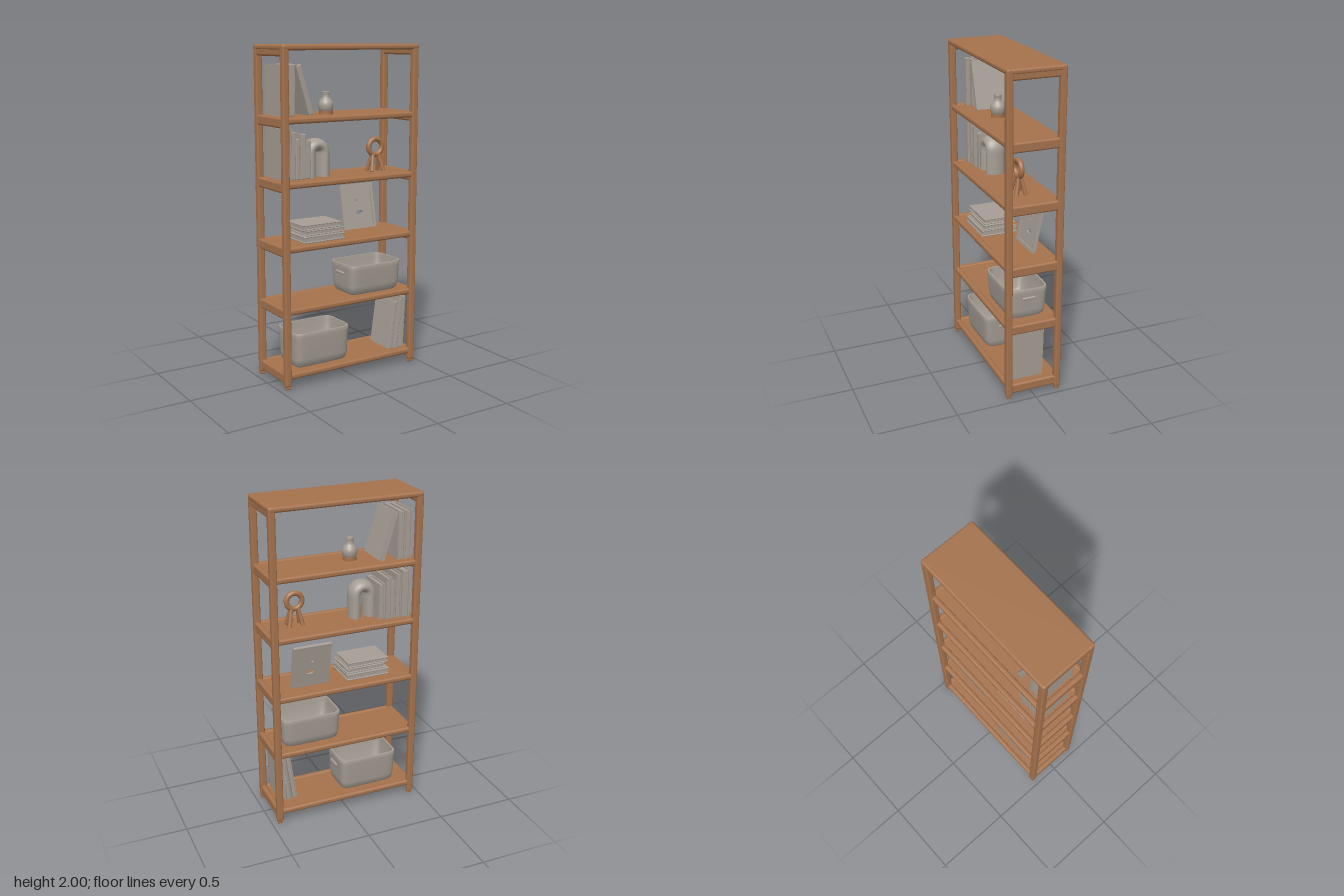
import * as THREE from 'three';
import { toCreasedNormals } from 'three/addons/utils/BufferGeometryUtils.js';
import { RoundedBoxGeometry } from 'three/addons/geometries/RoundedBoxGeometry.js';

const wood = new THREE.MeshStandardMaterial({ color: 0xa5724d });
wood.name = 'wood';
const clay = new THREE.MeshStandardMaterial({ color: 0xa69e95 });
clay.name = 'warm grey';

function add(parent, name, geometry, material, x = 0, y = 0, z = 0) {
  const mesh = new THREE.Mesh(geometry, material);
  mesh.name = name;
  mesh.position.set(x, y, z);
  parent.add(mesh);
  return mesh;
}

const rounded = (w, h, d, r) => new RoundedBoxGeometry(w, h, d, 3, r);

// Skin through rounded-rectangle rings; each level is [y, half width, half depth]
function loft(levels, sides = 48) {
  const pos = [], index = [];
  const corner = (v) => Math.sign(v) * Math.pow(Math.abs(v), 0.28);
  levels.forEach(([y, w, d]) => {
    for (let i = 0; i < sides; i++) {
      const t = ((i + 0.5) / sides) * Math.PI * 2;
      pos.push(w * corner(Math.cos(t)), y, d * corner(Math.sin(t)));
    }
  });
  for (let j = 0; j < levels.length - 1; j++) {
    for (let i = 0; i < sides; i++) {
      const a = j * sides + i, b = j * sides + (i + 1) % sides;
      index.push(a, a + sides, b, b, a + sides, b + sides);
    }
  }
  const g = new THREE.BufferGeometry();
  g.setAttribute('position', new THREE.Float32BufferAttribute(pos, 3));
  g.setIndex(index);
  return toCreasedNormals(g, 0.7);
}

// Upright book, spine to the front, pivot at the middle of its foot
function book(parent, x, y, z, w, h, d, lean = 0) {
  const g = new THREE.Group();
  g.name = 'book';
  const c = Math.min(0.008, w * 0.2);
  for (const s of [-1, 1]) add(g, 'cover', new THREE.BoxGeometry(c, h, d), clay, s * (w - c) / 2, h / 2, 0);
  add(g, 'spine', rounded(w, h, 0.016, 0.005), clay, 0, h / 2, d / 2 - 0.006);
  add(g, 'pages', new THREE.BoxGeometry(w - c, h - 0.012, d - 0.016), clay, 0, h / 2 - 0.003, 0);
  g.position.set(x, y, z);
  g.rotation.z = lean;
  parent.add(g);
}

// Open storage basket with a rolled rim and end handles
function basket(parent, x, y, z, w, h, d) {
  const g = new THREE.Group();
  g.name = 'basket';
  const a = w / 2, b = d / 2, t = 0.012;
  add(g, 'basketBody', loft([
    [0, 0.001, 0.001], [0, a * 0.88, b * 0.78], [0.012, a * 0.93, b * 0.87], [0.05, a * 0.96, b * 0.93],
    [h - 0.03, a * 0.985, b * 0.98], [h - 0.01, a, b], [h, a - 0.003, b - 0.003],
    [h, a - t, b - t], [h - 0.03, a - t - 0.004, b - t - 0.004],
    [0.03, a * 0.93 - t, b * 0.88 - t], [0.014, a * 0.88 - t, b * 0.8 - t], [0.014, 0.001, 0.001],
  ]), clay);
  for (const s of [-1, 1]) add(g, 'handle', rounded(0.016, 0.016, 0.085, 0.006), clay, s * (a - 0.001), h * 0.7, 0);
  g.position.set(x, y, z);
  parent.add(g);
}

function buildFrame(parent) {
  // Four posts with narrowed feet
  for (const sx of [-1, 1]) for (const sz of [-1, 1]) {
    add(parent, 'post', rounded(0.042, 1.98, 0.04, 0.011), wood, sx * 0.448, 1.01, sz * 0.157);
    add(parent, 'foot', rounded(0.034, 0.06, 0.032, 0.008), wood, sx * 0.448, 0.03, sz * 0.157);
  }
  // Shelves with end rails and rounded front and back edges
  for (const top of [0.095, 0.487, 0.857, 1.23, 1.597]) {
    add(parent, 'shelf', new THREE.BoxGeometry(0.88, 0.024, 0.31), wood, 0, top - 0.018, 0);
    for (const s of [-1, 1]) {
      add(parent, 'edgeRail', rounded(0.88, 0.036, 0.034, 0.014), wood, 0, top - 0.018, s * 0.155);
      add(parent, 'endRail', rounded(0.034, 0.06, 0.3, 0.012), wood, s * 0.448, top - 0.03, 0);
    }
  }
  // Top board
  add(parent, 'topBoard', rounded(0.938, 0.032, 0.356, 0.013), wood, 0, 1.984, 0);
  for (const s of [-1, 1]) add(parent, 'topEndRail', rounded(0.036, 0.06, 0.3, 0.012), wood, s * 0.448, 1.965, 0);
}

function buildOrnaments(parent) {
  // Vase on a wooden foot
  const profile = [[0.001, 0], [0.034, 0], [0.043, 0.025], [0.046, 0.045], [0.042, 0.064], [0.028, 0.082],
    [0.022, 0.092], [0.022, 0.108], [0.026, 0.12], [0.024, 0.125], [0.017, 0.122], [0.016, 0.09], [0.001, 0.085]];
  add(parent, 'vase', new THREE.LatheGeometry(profile.map(([r, y]) => new THREE.Vector2(r, y)), 32), clay, -0.085, 1.603, 0.005);
  add(parent, 'vaseFoot', new THREE.CylinderGeometry(0.041, 0.041, 0.022, 32), wood, -0.085, 1.604, 0.005);

  // Thick arch, deeper than it is wide
  const path = new THREE.CurvePath();
  const pts = [];
  for (let i = 0; i <= 4; i++) pts.push(new THREE.Vector3(-0.048, i * 0.036, 0));
  for (let i = 1; i < 8; i++) {
    const t = Math.PI * (1 - i / 8);
    pts.push(new THREE.Vector3(0.048 * Math.cos(t), 0.144 + 0.048 * Math.sin(t), 0));
  }
  for (let i = 4; i >= 0; i--) pts.push(new THREE.Vector3(0.048, i * 0.036, 0));
  const arch = new THREE.TubeGeometry(new THREE.CatmullRomCurve3(pts), 48, 0.037, 20);
  arch.scale(1, 1, 1.6);
  add(parent, 'arch', arch, clay, -0.165, 1.229, 0.01);

  // Wooden ring on splayed legs
  const ring = new THREE.Group();
  ring.name = 'ringOrnament';
  add(ring, 'ring', new THREE.TorusGeometry(0.048, 0.016, 14, 36), wood, 0, 0.15, 0);
  for (const sx of [-1, 1]) for (const sz of [-1, 1]) {
    const from = new THREE.Vector3(sx * 0.02, 0.11, sz * 0.006), to = new THREE.Vector3(sx * 0.042, 0, sz * 0.03);
    const leg = add(ring, 'ringLeg', new THREE.CylinderGeometry(0.01, 0.013, from.distanceTo(to), 10), wood);
    leg.position.addVectors(from, to).multiplyScalar(0.5);
    leg.quaternion.setFromUnitVectors(new THREE.Vector3(0, 1, 0), from.clone().sub(to).normalize());
  }
  ring.position.set(0.26, 1.229, 0.02);
  parent.add(ring);

  // Picture frame leaning back, its panel pierced by two small openings
  const frame = new THREE.Group();
  frame.name = 'pictureFrame';
  const H = 0.282, W = 0.24;
  for (const s of [-1, 1]) {
    add(frame, 'frameSide', new THREE.BoxGeometry(0.018, H, 0.022), clay, s * (W - 0.018) / 2, H / 2, 0);
    add(frame, 'frameBar', new THREE.BoxGeometry(W, 0.018, 0.022), clay, 0, H / 2 + s * (H - 0.018) / 2, 0);
  }
  const panel = new THREE.Shape([[-0.112, 0.008], [0.112, 0.008], [0.112, H - 0.008], [-0.112, H - 0.008]]
    .map(([x, y]) => new THREE.Vector2(x, y)));
  panel.holes.push(new THREE.Path().absellipse(0.008, 0.1, 0.024, 0.014, 0, Math.PI * 2, true));
  panel.holes.push(new THREE.Path().absellipse(-0.004, 0.176, 0.009, 0.007, 0, Math.PI * 2, true));
  add(frame, 'picturePanel', new THREE.ExtrudeGeometry(panel, { depth: 0.012, bevelEnabled: false }), clay, 0, 0, -0.01);
  frame.position.set(0.2, 0.86, -0.055);
  frame.rotation.x = -0.2;
  parent.add(frame);
}

function buildBooksAndBaskets(parent) {
  // Top shelf: upright books and one leaning
  book(parent, -0.4, 1.597, -0.02, 0.04, 0.29, 0.22);
  book(parent, -0.355, 1.597, -0.03, 0.046, 0.293, 0.2);
  book(parent, -0.232, 1.602, -0.02, 0.033, 0.295, 0.21, 0.29);

  // Second shelf: row of mixed books
  const row = [[-0.394, 0.05, 0.297, 0.22], [-0.351, 0.032, 0.276, 0.2], [-0.319, 0.028, 0.235, 0.19],
    [-0.286, 0.034, 0.262, 0.21], [-0.248, 0.038, 0.222, 0.18]];
  for (const [x, w, h, d] of row) book(parent, x, 1.23, -0.02, w, h, d);

  // Third shelf: stack of books lying flat
  [[0.28, 0.23, 0.04, 0], [0.255, 0.205, 0.032, 0.01], [0.268, 0.19, 0.034, -0.008]].reduce((y, [w, d, h, x]) => {
    const cx = -0.17 + x, cz = 0.015;
    for (const s of [0, 1]) add(parent, 'flatBookCover', rounded(w, 0.008, d, 0.003), clay, cx, y + 0.004 + s * (h - 0.008), cz);
    add(parent, 'flatBookPages', new THREE.BoxGeometry(w - 0.014, h - 0.008, d - 0.014), clay, cx, y + h / 2, cz);
    return y + h;
  }, 0.857);

  // Lower shelf: leaning books
  book(parent, 0.314, 0.097, 0.025, 0.027, 0.305, 0.2, -0.14);
  book(parent, 0.355, 0.097, 0.025, 0.027, 0.325, 0.21, -0.115);
  book(parent, 0.394, 0.096, 0.025, 0.033, 0.335, 0.21, -0.05);

  // Baskets
  basket(parent, 0.205, 0.486, 0.005, 0.38, 0.185, 0.265);
  basket(parent, -0.175, 0.094, 0, 0.385, 0.215, 0.265);
}

export function createModel() {
  const model = new THREE.Group();
  model.name = 'bookcase';
  for (const [name, build] of [['frame', buildFrame], ['ornaments', buildOrnaments], ['storage', buildBooksAndBaskets]]) {
    const group = new THREE.Group();
    group.name = name;
    build(group);
    model.add(group);
  }
  return model;
}
